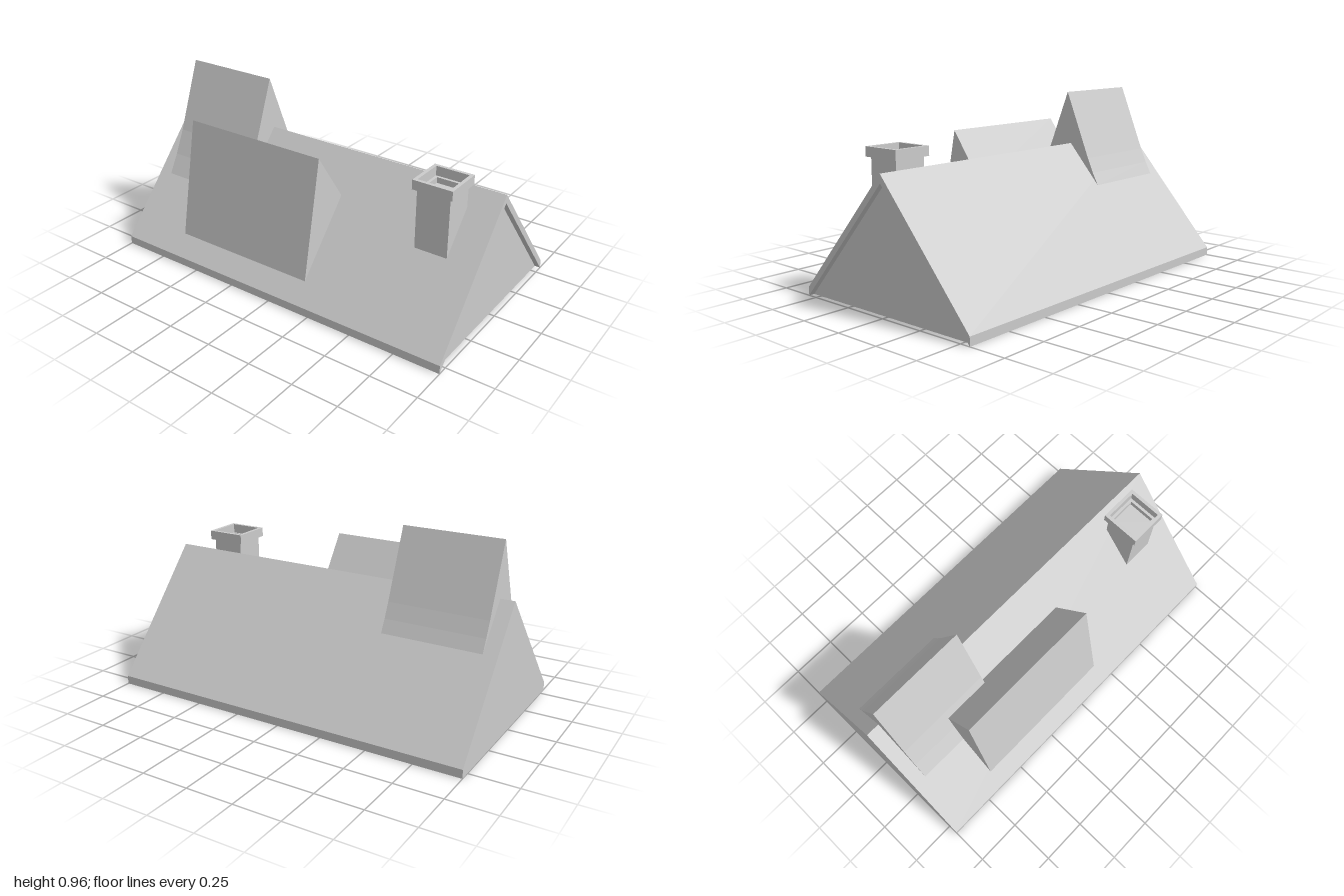
import * as THREE from 'three';

const material = new THREE.MeshStandardMaterial({ color: 0xcccccc, flatShading: true });

// Prism with an x-y outline running from z0 to z1
function prism(name, points, z0, z1) {
  const shape = new THREE.Shape(points.map(([x, y]) => new THREE.Vector2(x, y)));
  const geometry = new THREE.ExtrudeGeometry(shape, { depth: z1 - z0, bevelEnabled: false });
  geometry.translate(0, 0, z0);
  const mesh = new THREE.Mesh(geometry, material);
  mesh.name = name;
  return mesh;
}

function square(path, h) {
  path.moveTo(-h, -h);
  path.lineTo(h, -h);
  path.lineTo(h, h);
  path.lineTo(-h, h);
  path.closePath();
  return path;
}

// Hollow square tube standing from y0 to y1
function squareTube(name, half, inner, y0, y1) {
  const shape = square(new THREE.Shape(), half);
  shape.holes.push(square(new THREE.Path(), inner));
  const geometry = new THREE.ExtrudeGeometry(shape, { depth: y1 - y0, bevelEnabled: false });
  geometry.rotateX(-Math.PI / 2);
  geometry.translate(0, y0, 0);
  const mesh = new THREE.Mesh(geometry, material);
  mesh.name = name;
  return mesh;
}

export function createModel() {
  const model = new THREE.Group();
  model.name = 'roof';

  // Main roof: sloping shell over a gable body, recessed a little at the front
  model.add(prism('roofShell', [
    [-0.555, 0], [0.01, 0.63], [0.555, 0], [0.555, 0.045], [0.01, 0.675], [-0.555, 0.045],
  ], -1, 1));
  model.add(prism('gableBody', [[-0.555, 0], [0.555, 0], [0.01, 0.63]], -1, 0.97));

  // Long side dormer, sunk into the left-hand slope
  model.add(prism('sideDormer', [
    [-0.47, 0.14], [-0.3, 0.25], [-0.155, 0.495], [-0.345, 0.77],
  ], -0.65, 0.175));

  // Tall dormer across the ridge, with flared eaves
  model.add(prism('ridgeDormer', [
    [-0.28, 0.35], [0.2, 0.455], [0.165, 0.522], [0.13, 0.6],
    [-0.015, 0.96], [-0.16, 0.585], [-0.22, 0.457],
  ], -0.925, -0.39));

  // Chimney: hollow shaft, wider cap and a shallow flue floor
  const chimney = new THREE.Group();
  chimney.name = 'chimney';
  chimney.position.set(-0.153, 0, 0.75);
  chimney.add(squareTube('chimneyShaft', 0.088, 0.073, 0.35, 0.71));
  chimney.add(squareTube('chimneyCap', 0.106, 0.088, 0.71, 0.76));
  const floor = new THREE.Mesh(new THREE.BoxGeometry(0.146, 0.02, 0.146), material);
  floor.name = 'flueFloor';
  floor.position.y = 0.67;
  chimney.add(floor);
  model.add(chimney);

  return model;
}
